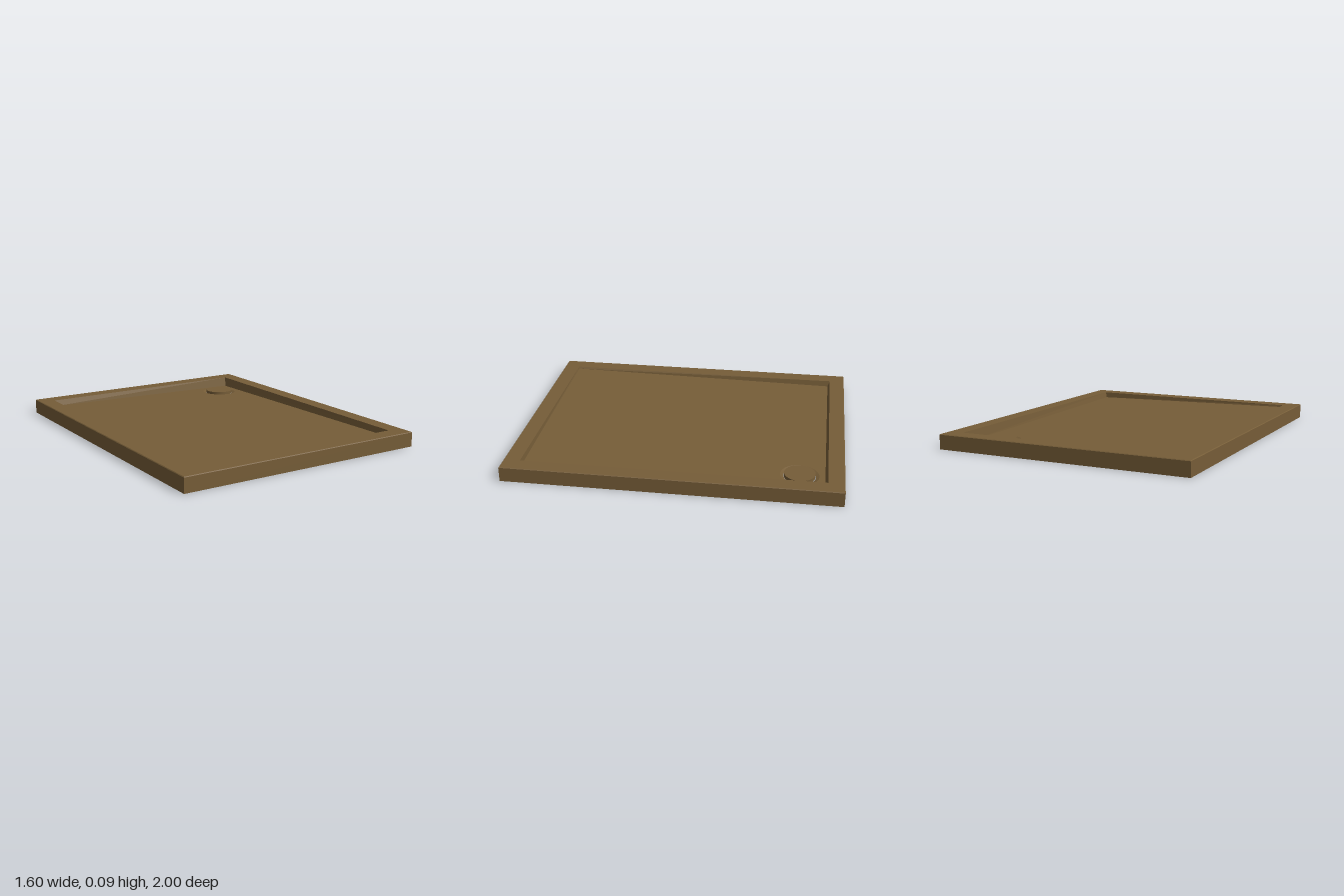
import * as THREE from 'three';

const HEIGHT = 0.092;
const DRAIN = { x: 0.54, z: -0.74, r: 0.092 };

// The floor is one plane falling to the drain corner (+x, -z)
const floorY = (x, z) => 0.055 - 0.0178 * x + 0.0139 * z;

// Four corners of a rectangle, with a height rule
const ring = (x, zBack, zFront, y) =>
  [[-x, zFront], [x, zFront], [x, zBack], [-x, zBack]].map(([px, pz]) => [px, y(px, pz), pz]);

// Band of four quads joining two rectangles (lower/outer first)
function band(a, b) {
  const pos = [];
  for (let i = 0; i < 4; i++) {
    const j = (i + 1) % 4;
    pos.push(...a[i], ...a[j], ...b[j], ...a[i], ...b[j], ...b[i]);
  }
  const geo = new THREE.BufferGeometry();
  geo.setAttribute('position', new THREE.Float32BufferAttribute(pos, 3));
  geo.computeVertexNormals();
  return geo;
}

export function createModel() {
  const group = new THREE.Group();
  group.name = 'showerTray';
  const brown = new THREE.MeshStandardMaterial({ color: 0x765d38, side: THREE.DoubleSide });
  brown.name = 'brown';

  const add = (name, geo) => {
    const mesh = new THREE.Mesh(geo, brown);
    mesh.name = name;
    group.add(mesh);
    return mesh;
  };

  // Hollow shell: outer skirt, small edge bevel, flat rim, basin walls
  const e = 0.004;
  const foot = ring(0.8, -1, 1, () => 0);
  const shoulder = ring(0.8, -1, 1, () => HEIGHT - e);
  const rimOuter = ring(0.8 - e, -1 + e, 1 - e, () => HEIGHT);
  const rimInner = ring(0.702, -0.903, 0.9, () => HEIGHT);
  const floorEdge = ring(0.695, -0.89, 0.897, floorY);
  add('skirt', band(foot, shoulder));
  add('edgeBevel', band(shoulder, rimOuter));
  add('rim', band(rimOuter, rimInner));
  add('basinWalls', band(rimInner, floorEdge));

  // Sloping floor with the drain opening
  const outline = new THREE.Shape(floorEdge.map(([x, , z]) => new THREE.Vector2(x, -z)));
  const hole = new THREE.Path();
  hole.absarc(DRAIN.x, -DRAIN.z, 0.115, 0, Math.PI * 2, true);
  outline.holes.push(hole);
  const floor = new THREE.ShapeGeometry(outline, 24).rotateX(-Math.PI / 2);
  const slope = (geo) => {
    const p = geo.attributes.position;
    for (let i = 0; i < p.count; i++) p.setY(i, p.getY(i) + floorY(p.getX(i), p.getZ(i)));
    geo.computeVertexNormals();
    return geo;
  };
  add('floor', slope(floor));

  // Shallow dished ring around the opening
  const dish = new THREE.LatheGeometry(
    [new THREE.Vector2(0.095, -0.008), new THREE.Vector2(0.115, 0)], 48);
  dish.translate(DRAIN.x, 0, DRAIN.z);
  add('drainDish', slope(dish));

  // Drain cover standing just clear of the dish
  const cover = add('drainCover', new THREE.CylinderGeometry(DRAIN.r, DRAIN.r, 0.022, 48));
  cover.position.set(DRAIN.x, 0.038, DRAIN.z);

  return group;
}
